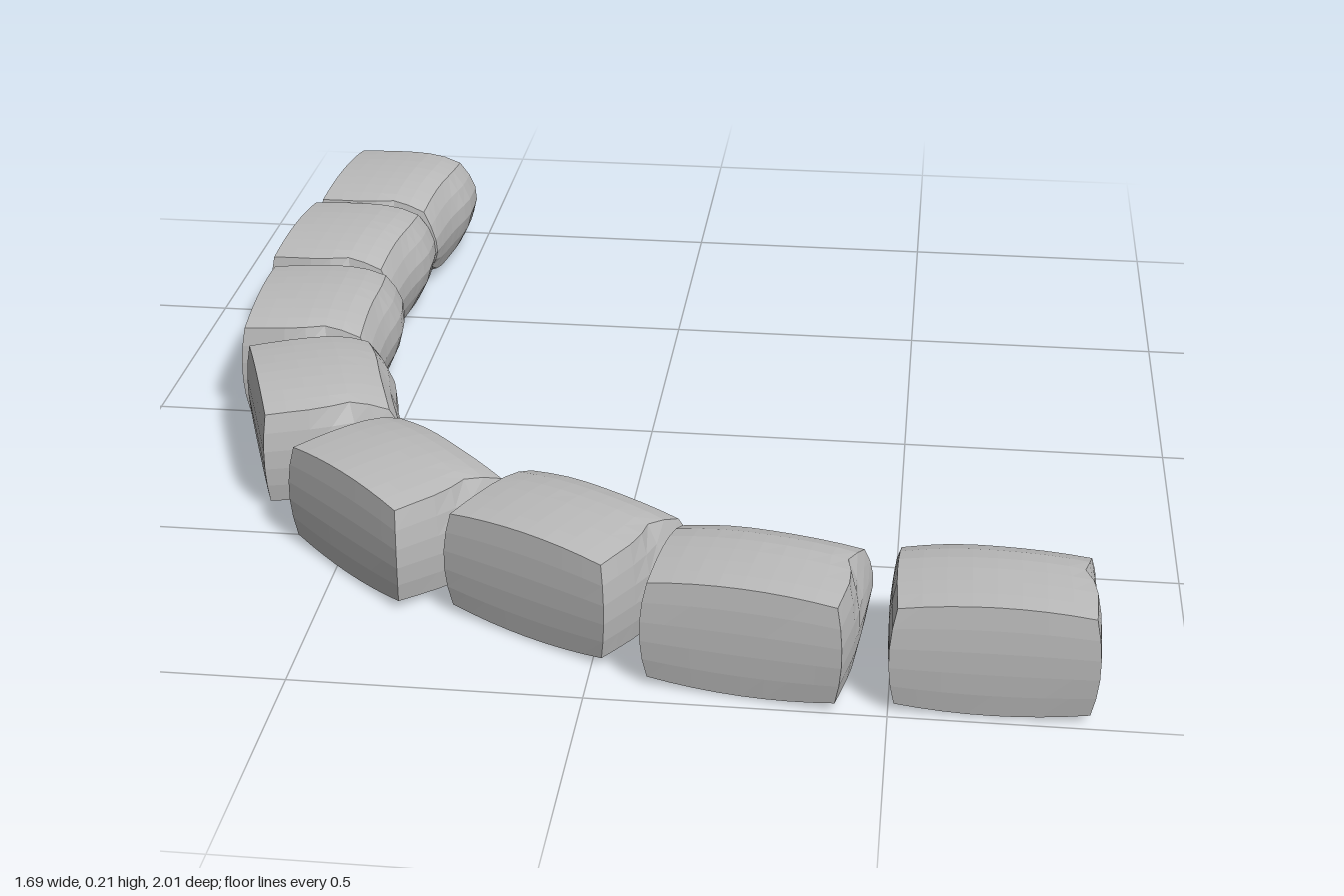
import * as THREE from 'three';

const stoneGrey = new THREE.MeshStandardMaterial({ color: 0xbbbbbb });

// One rough-hewn block: a subdivided box, length on x, swollen faces and a lumpy back (-z)
function stoneGeometry() {
  const box = new THREE.BoxGeometry(2, 2, 2, 8, 5, 6);
  const p = box.attributes.position;
  const bump = (t, centre, width) => Math.exp(-(((t - centre) / width) ** 2));
  for (let i = 0; i < p.count; i++) {
    const u = p.getX(i), v = p.getY(i), w = p.getZ(i);
    const back = Math.max(0, -w);
    const end = Math.max(0, u) ** 4;

    // ends bulge at mid height, with a chipped dent in the +x end
    let x = u * (0.16 + 0.011 * (1 - v * v) + 0.003 * Math.cos(w * 2));
    x -= end * 0.018 * bump(w, -0.35, 0.35) * Math.max(0, v);

    // top and bottom crown slightly, dropping toward the back edge
    let y = v * (0.089 + 0.012 * (1 - u * u) + 0.004 * (1 - w * w));
    y -= v * 0.014 * back ** 3;
    if (v < 0) y += end * 0.022 * back * -v;

    // front swells gently, back swells more toward the -x end
    let z = w * (0.122 + 0.008 * (1 - v * v));
    z -= back * ((1 - v * v) * 0.01 + 0.014 * bump(u, -0.5, 0.5) * (1 - 0.6 * v * v));
    z += back * 0.014 * Math.max(0, v);

    p.setXYZ(i, x, y + 0.105, z);
  }
  const faceted = box.toNonIndexed();
  faceted.computeVertexNormals();
  return faceted;
}

// x, z, heading of each block along the curved border
const layout = [
  [-0.68, -0.83, -1.64],
  [-0.71, -0.495, -1.62],
  [-0.695, -0.14, -1.52],
  [-0.61, 0.215, -1.23],
  [-0.39, 0.55, -0.76],
  [-0.065, 0.715, -0.49],
  [0.275, 0.85, -0.15],
  [0.668, 0.862, 0],
];

export function createModel() {
  const border = new THREE.Group();
  border.name = 'stoneBorder';
  const geometry = stoneGeometry();
  layout.forEach(([x, z, heading], i) => {
    const stone = new THREE.Mesh(geometry, stoneGrey);
    stone.name = `stone${i + 1}`;
    stone.position.set(x, 0, z);
    stone.rotation.y = heading;
    border.add(stone);
  });
  return border;
}
